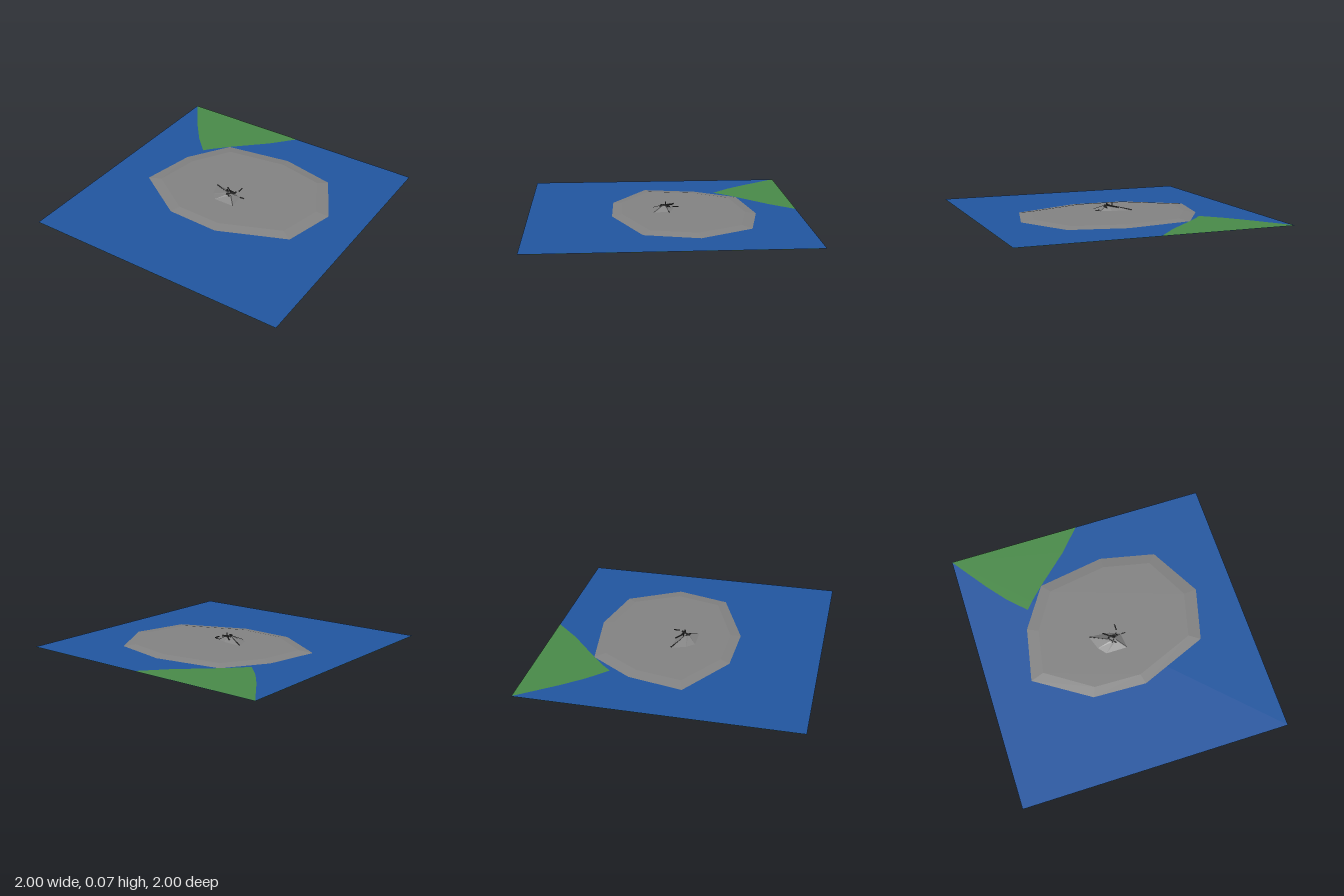
import * as THREE from 'three';

export function createModel() {
  const model = new THREE.Group();
  const mat = (name, color, opts = {}) => {
    const m = new THREE.MeshStandardMaterial({ color, ...opts });
    m.name = name;
    return m;
  };
  const water = mat('water blue', 0x2257a2, { side: THREE.DoubleSide });
  const grass = mat('grass green', 0x4a8c4a, { side: THREE.DoubleSide });
  const rock = mat('rock grey', 0x848484, { flatShading: true, side: THREE.DoubleSide });
  const dark = mat('dark grey', 0x484848, { flatShading: true });

  const add = (name, geometry, material, parent = model) => {
    const mesh = new THREE.Mesh(geometry, material);
    mesh.name = name;
    parent.add(mesh);
    return mesh;
  };

  // Flat outline given as x, z pairs, facing up
  const flat = (points, y) =>
    new THREE.ShapeGeometry(new THREE.Shape(points.map(([x, z]) => new THREE.Vector2(x, -z))))
      .rotateX(-Math.PI / 2).translate(0, y, 0);

  // Closed skin through rings of [x, y, z] points, listed clockwise from above
  const loft = (rings) => {
    const n = rings[0].length;
    const index = [];
    for (let r = 0; r < rings.length - 1; r++) {
      for (let i = 0; i < n; i++) {
        const a = r * n + i, b = r * n + (i + 1) % n;
        index.push(a, a + n, b, b, a + n, b + n);
      }
    }
    const g = new THREE.BufferGeometry();
    g.setAttribute('position', new THREE.Float32BufferAttribute(rings.flat(2), 3));
    g.setIndex(index);
    const result = g.toNonIndexed();
    result.computeVertexNormals();
    return result;
  };
  const ring = (points, y) => points.map(([x, z]) => [x, y, z]);

  // Ground sheet with the sea just above it
  const square = [[-1, -1], [-1, 1], [1, 1], [1, -1]];
  add('ground', flat(square, 0), grass);
  add('sea', flat(square, 0.0015), water);

  // Grassy land showing through at the back corner
  add('shore', flat([[-1, -1], [-0.8, -0.72], [-0.68, -0.57], [-0.55, -0.44], [-0.5, -0.5],
    [-0.4, -0.6], [-0.16, -0.82], [0, -1]], 0.003), grass);

  // Nine-sided island with a bevelled rim
  const outer = [[0.1, -0.68], [0.51, -0.59], [0.72, -0.21], [0.62, 0.18], [0.12, 0.385],
    [-0.28, 0.37], [-0.68, 0.11], [-0.6, -0.29], [-0.4, -0.6]];
  const inner = [[0.1, -0.6], [0.45, -0.525], [0.62, -0.2], [0.54, 0.13], [0.1, 0.31],
    [-0.25, 0.3], [-0.58, 0.08], [-0.52, -0.25], [-0.345, -0.53]];
  add('islandRim', loft([ring(outer, 0.002), ring(inner, 0.013)].map((r) => r.slice().reverse()).reverse()), rock);
  add('islandTop', flat(inner.slice().reverse(), 0.013), rock);

  // Small craggy mound
  const foot = [[-0.18, -0.09], [-0.02, -0.075], [0.06, -0.04], [0.075, 0.08], [-0.09, 0.08], [-0.14, 0.02]];
  const crest = [[-0.045, -0.015], [-0.02, -0.02], [0.005, -0.015], [0.01, 0.01], [-0.02, 0.015], [-0.04, 0.005]];
  add('mound', loft([ring(foot, 0.012), ring(crest, 0.046)].map((r) => r.slice().reverse()).reverse()), rock);
  add('moundTop', flat(crest.slice().reverse(), 0.046), rock);

  // Broken beams and posts on the mound
  const wreck = new THREE.Group();
  wreck.name = 'wreckage';
  model.add(wreck);
  const beam = (name, from, to, size) => {
    const a = new THREE.Vector3(...from), b = new THREE.Vector3(...to);
    const mesh = add(name, new THREE.BoxGeometry(size, size, a.distanceTo(b)), dark, wreck);
    mesh.position.copy(a).add(b).multiplyScalar(0.5);
    mesh.lookAt(b);
  };
  beam('longBeam', [-0.17, 0.017, -0.085], [-0.02, 0.047, 0], 0.005);
  beam('backBeam', [-0.07, 0.038, -0.075], [-0.005, 0.048, -0.02], 0.006);
  beam('sideBeam', [-0.025, 0.048, 0.02], [0.025, 0.046, -0.045], 0.007);
  beam('crossBeam', [-0.035, 0.048, -0.035], [0.03, 0.048, -0.03], 0.007);
  beam('frontBeam', [-0.03, 0.046, 0], [0.005, 0.045, 0.025], 0.007);
  beam('leftPost', [-0.04, 0.035, -0.02], [-0.04, 0.066, -0.02], 0.007);
  beam('rightPost', [0, 0.035, -0.015], [0, 0.068, -0.015], 0.007);
  beam('looseBeamBack', [0.035, 0.046, -0.11], [0.035, 0.046, -0.065], 0.006);
  beam('looseBeamSide', [0.065, 0.02, -0.037], [0.095, 0.02, -0.037], 0.005);

  return model;
}
